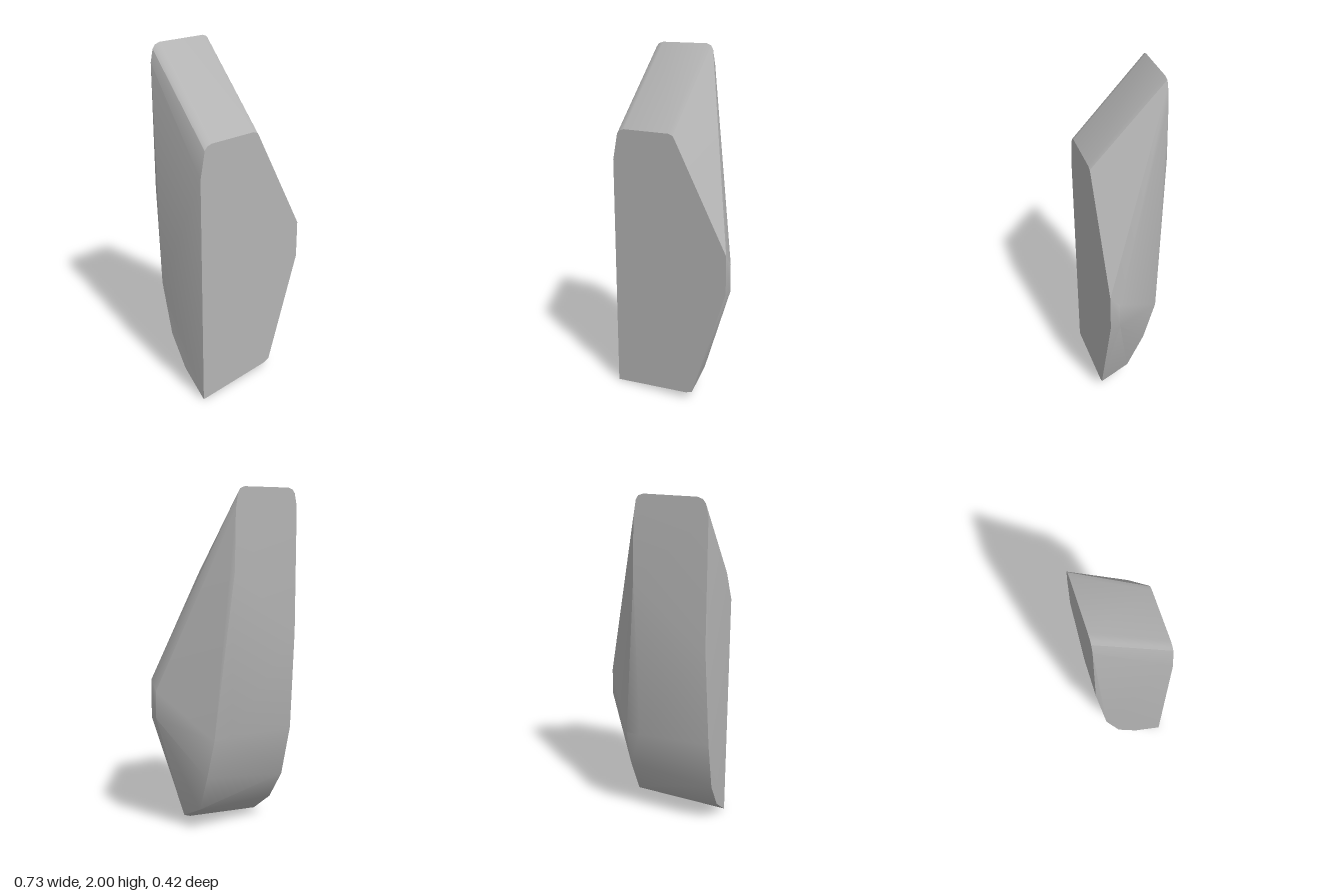
import * as THREE from 'three';
import { ConvexGeometry } from 'three/addons/geometries/ConvexGeometry.js';
import { toCreasedNormals } from 'three/addons/utils/BufferGeometryUtils.js';

export function createModel() {
  const grey = new THREE.MeshStandardMaterial({ color: 0xb4b4b4 });
  grey.name = 'stone grey';

  // flat front face outline, at z = 0.21
  const front = [
    [-0.365, 0], [0.11, 0.04], [0.15, 0.055], [0.36, 0.7], [0.36, 0.92],
    [0.04, 1.52], [0.027, 1.54], [0, 1.55], [-0.29, 1.55], [-0.32, 1.54], [-0.335, 1.52], [-0.365, 1.37],
  ].map(([x, y]) => [x, y, 0.21]);

  // flat upper back outline, at z = -0.21
  const back = [
    [-0.35, 1.2], [0.06, 1.55], [0.055, 1.88], [0.04, 1.97], [0.027, 1.99],
    [0, 2], [-0.29, 2], [-0.32, 1.99], [-0.335, 1.97], [-0.35, 1.9],
  ].map(([x, y]) => [x, y, -0.21]);

  // right flank corner and the curved lower back, row by row
  const flank = [[0.36, 0.7, 0.155], [0.36, 0.86, 0.155]];
  const lowerBack = [
    [0.145, 0.6, -0.135], [0.05, 0.62, -0.17], [-0.365, 0.62, -0.16],
    [0.15, 0.36, -0.06], [-0.365, 0.31, -0.08],
    [0.14, 0.14, 0.04], [-0.365, 0.13, 0.04],
  ];

  const points = [...front, ...back, ...flank, ...lowerBack].map((p) => new THREE.Vector3(...p));
  const geometry = toCreasedNormals(new ConvexGeometry(points), 0.52);

  const body = new THREE.Mesh(geometry, grey);
  body.name = 'facetedBody';
  const group = new THREE.Group();
  group.name = 'facetedBlock';
  group.add(body);
  return group;
}
